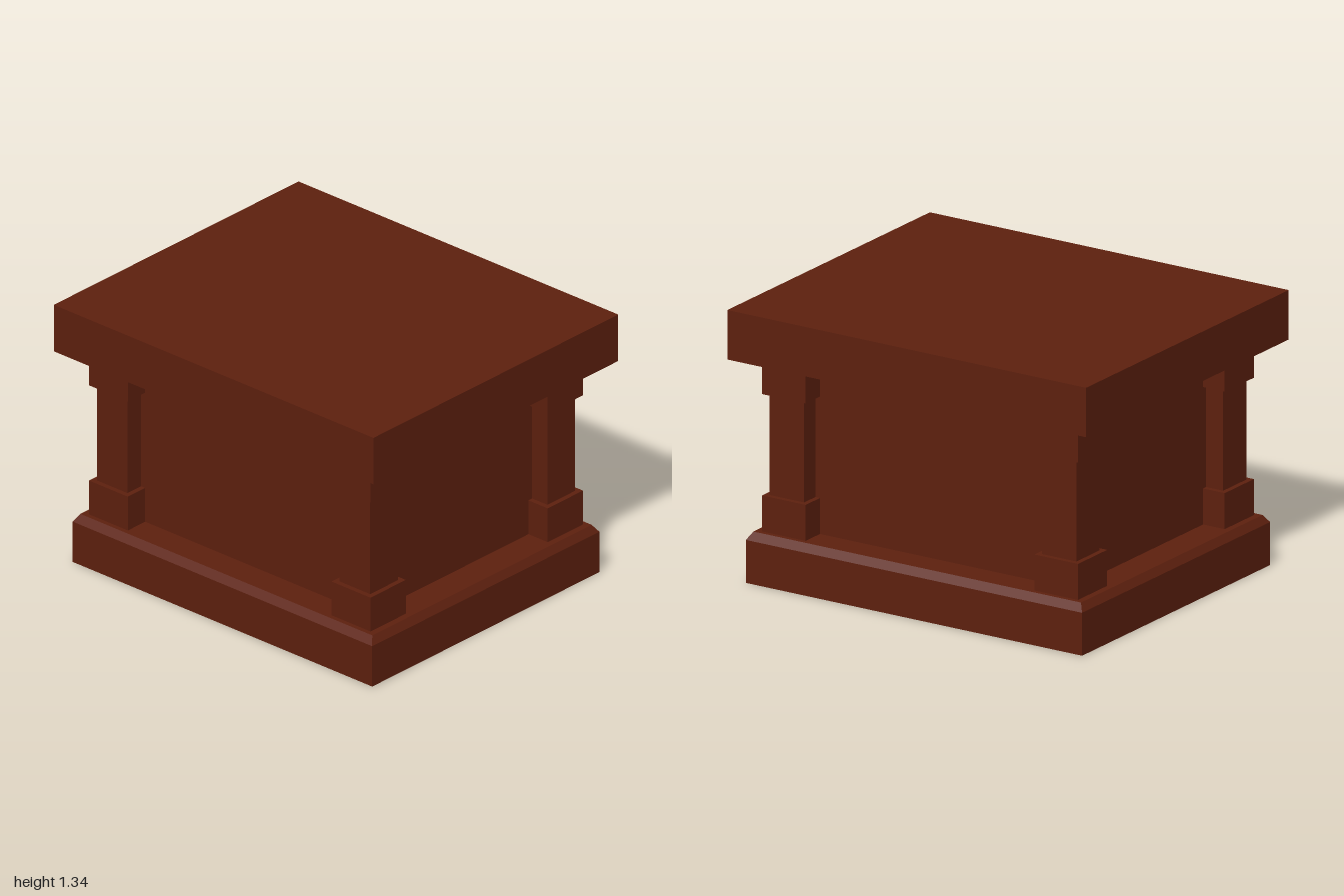
import * as THREE from 'three';

const mahogany = new THREE.MeshStandardMaterial({ color: 0x5e200e, side: THREE.DoubleSide });
mahogany.name = 'mahogany';

// Open shell made by joining rectangular rings [halfWidth, y, halfDepth], listed upwards
function rectShell(rings) {
  const corners = [[1, 1], [1, -1], [-1, -1], [-1, 1]];
  const points = [];
  for (let i = 0; i < rings.length - 1; i++) {
    for (let c = 0; c < 4; c++) {
      const at = (ring, k) => {
        const [w, y, d] = rings[ring];
        const [sx, sz] = corners[k % 4];
        return [w * sx, y, d * sz];
      };
      const a = at(i, c), b = at(i, c + 1), e = at(i + 1, c + 1), f = at(i + 1, c);
      points.push(...a, ...b, ...e, ...a, ...e, ...f);
    }
  }
  const geometry = new THREE.BufferGeometry();
  geometry.setAttribute('position', new THREE.Float32BufferAttribute(points, 3));
  geometry.computeVertexNormals();
  return geometry;
}

function addMesh(parent, name, geometry, x = 0, y = 0, z = 0) {
  const mesh = new THREE.Mesh(geometry, mahogany);
  mesh.name = name;
  mesh.position.set(x, y, z);
  parent.add(mesh);
}

function addBlock(parent, name, width, depth, bottom, top) {
  addMesh(parent, name, new THREE.BoxGeometry(width, top - bottom, depth), 0, (bottom + top) / 2, 0);
}

export function createModel() {
  const model = new THREE.Group();
  model.name = 'pedestalTable';

  const wallX = 0.76, wallZ = 0.612;

  // Hollow plinth with bevelled rim and a ledge running in to the walls
  addMesh(model, 'plinth', rectShell([
    [0.937, 0, 0.782],
    [0.937, 0.21, 0.782],
    [0.913, 0.248, 0.755],
    [wallX, 0.248, wallZ],
  ]));

  // Thin side panels between the posts
  addMesh(model, 'panels', rectShell([[wallX, 0.248, wallZ], [wallX, 1.098, wallZ]]));

  // Corner posts, each with a foot, shaft and cap
  for (const sx of [-1, 1]) {
    for (const sz of [-1, 1]) {
      const post = new THREE.Group();
      post.name = (sz > 0 ? 'front' : 'back') + (sx > 0 ? 'Left' : 'Right') + 'Post';
      post.position.set(sx * 0.759, 0, sz * 0.61);
      addBlock(post, 'foot', 0.243, 0.243, 0.248, 0.424);
      addBlock(post, 'shaft', 0.192, 0.192, 0.424, 0.92);
      addBlock(post, 'cap', 0.243, 0.243, 0.92, 1.098);
      model.add(post);
    }
  }

  // Heavy overhanging top
  addBlock(model, 'top', 2, 1.685, 1.098, 1.34);

  return model;
}
